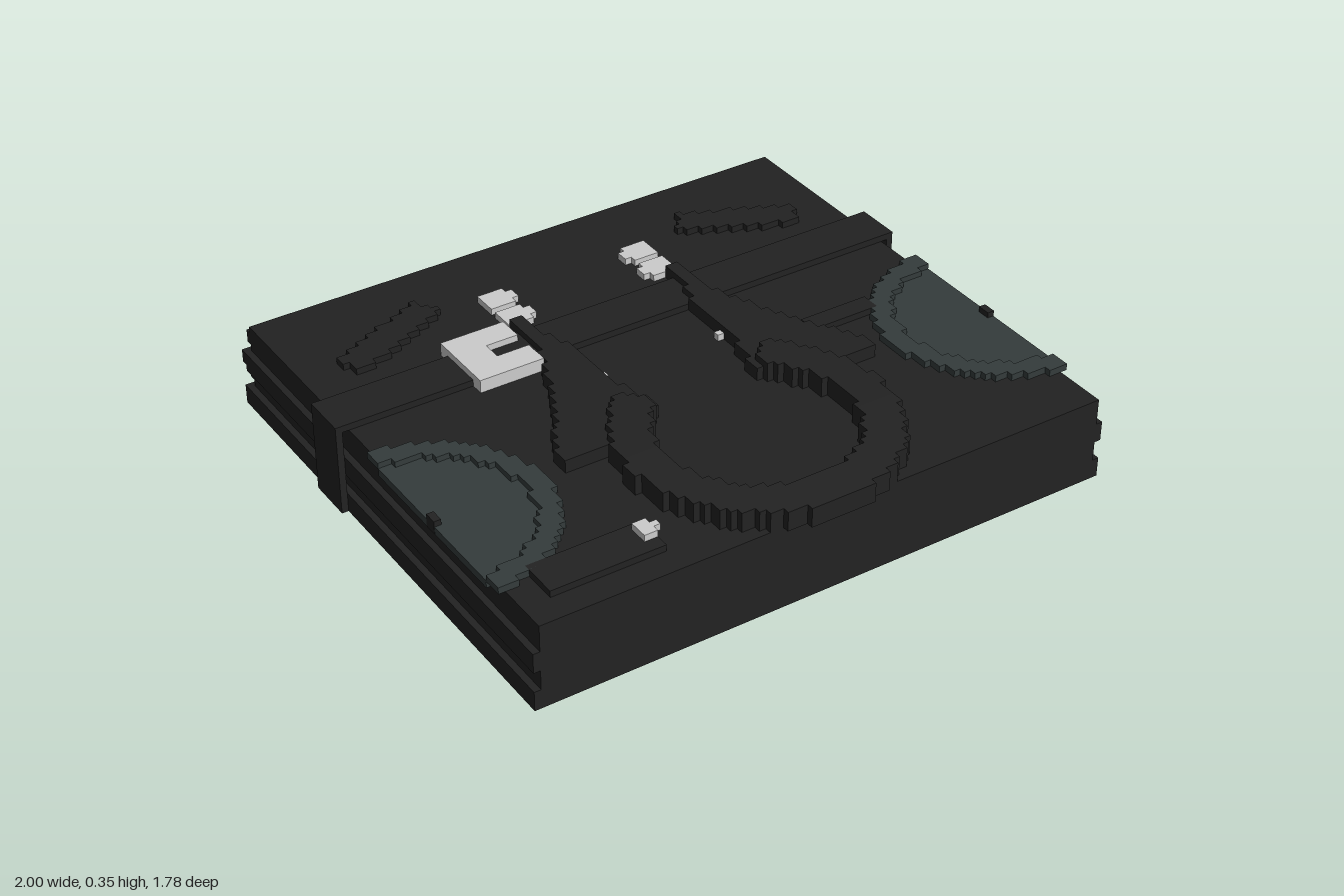
import * as THREE from 'three';
import { mergeGeometries } from 'three/addons/utils/BufferGeometryUtils.js';

const U = 2 / 92; // one block

const material = (name, color) => {
  const m = new THREE.MeshStandardMaterial({ color });
  m.name = name;
  return m;
};

// Box between two corners, in blocks
function block(x0, x1, y0, y1, z0, z1) {
  const g = new THREE.BoxGeometry((x1 - x0) * U, (y1 - y0) * U, (z1 - z0) * U);
  return g.translate((x0 + x1) * U / 2, (y0 + y1) * U / 2, (z0 + z1) * U / 2);
}

// Stepped slab: fills every block whose centre passes the test, one box per run
function stepped(test, y0, y1) {
  const boxes = [];
  for (let z = -41; z < 41; z++) {
    let start = null;
    for (let x = -46; x <= 46; x++) {
      const inside = x < 46 && test(x + 0.5, z + 0.5);
      if (inside && start === null) start = x;
      if (!inside && start !== null) {
        boxes.push(block(start, x, y0, y1, z, z + 1));
        start = null;
      }
    }
  }
  return boxes;
}

// Point-in-polygon test
const polygon = (pts) => (x, z) => {
  let inside = false;
  pts.forEach(([ax, az], i) => {
    const [bx, bz] = pts[(i + 1) % pts.length];
    if ((az > z) !== (bz > z) && x < ((bx - ax) * (z - az)) / (bz - az) + ax) inside = !inside;
  });
  return inside;
};

export function createModel() {
  const black = material('black', 0x222222);
  const slate = material('slate', 0x343c3c);
  const silver = material('silver', 0xcccccc);
  const group = new THREE.Group();
  const add = (name, mat, boxes) => {
    const mesh = new THREE.Mesh(mergeGeometries(boxes), mat);
    mesh.name = name;
    group.add(mesh);
  };

  // Case with ridged sides and back
  add('case', black, [block(-44, 44, 0, 13, -40, 39)]);
  add('sideRidges', black, [0, 6].flatMap((y) => [
    block(44, 45, y, y + 3, -40, 39), block(-45, -44, y, y + 3, -40, 39),
  ]));
  add('backRidges', black, [
    block(-45, 45, 0, 3, -41, -40), block(-44, 44, 4, 6, -41, -40),
    block(-45, 45, 7, 9, -41, -40), block(-44, 44, 10, 12, -41, -40),
  ]);

  // Strap over the top and down both sides
  add('strap', black, [
    block(-46, 46, 13, 14, -17, -10),
    block(45, 46, 0, 13, -17, -10), block(-46, -45, 0, 13, -17, -10),
  ]);

  // Open ring
  add('ring', black, stepped((x, z) => {
    const r = Math.hypot(x, z - 21.5);
    const gap = z < 21.5 && Math.abs(x) < (21.5 - z) * 0.72;
    return r > 14 && r < 19.6 && !gap;
  }, 13, 16));

  // Mirrored parts
  const wedge = polygon([[12, -19], [14, -19], [14.5, -10], [18.5, 0], [25.5, 13], [25, 14],
    [15, 14], [8, 10], [9, 4], [10, 2], [10, -8], [12, -14]]);
  const bar = polygon([[38.3, -24.5], [36, -20.3], [20, -28], [22.5, -31.8]]);
  const both = (test) => (x, z) => test(Math.abs(x), z);
  add('wedges', black, stepped(both(wedge), 13, 15));
  add('slantedBars', black, stepped(both(bar), 13, 14));

  // Half discs at the sides: raised rim around a flush plate
  const radius = (x, z) => Math.hypot(45 - Math.abs(x), z - 14);
  const within = (x) => Math.abs(x) < 45;
  add('discRims', slate, stepped((x, z) => within(x) && radius(x, z) > 13.7 && radius(x, z) < 16.8, 13, 14));
  add('discPlates', slate, [
    ...stepped((x, z) => Math.abs(x) > 44 && within(x) && radius(x, z) < 14.5, 12, 13),
    ...stepped((x, z) => within(x) && radius(x, z) < 13.8, 13, 13.15),
  ]);
  add('discPins', black, [block(44, 45.05, 12, 14, 13, 15), block(-45.05, -44, 12, 14, 13, 15)]);

  // Low rectangular pads
  add('pads', black, [block(-40, -23, 13, 14, 29, 35), block(21, 32, 13, 14, 2, 5)]);

  // Silver fittings
  add('buckle', silver, [
    block(-25, -20, 13, 15, -19, -8),
    block(-20, -15, 13, 15, -19, -15), block(-20, -15, 13, 15, -12, -8),
  ]);
  const studs = [];
  for (const s of [-1, 1]) {
    const mirrored = (a, b, z0, z1) =>
      studs.push(block(Math.min(s * a, s * b), Math.max(s * a, s * b), 13, 14, z0, z1));
    for (const z of [-28, -23]) {
      mirrored(10, 14, z, z + 4);
      mirrored(9, 10, z + 1, z + 3);
    }
    mirrored(9, 10, -2, -1);
  }
  add('studs', silver, studs);
  add('knob', silver, [block(-25, -23, 14, 15, 30, 33), block(-23, -22, 14, 15, 31, 32)]);
  return group;
}
